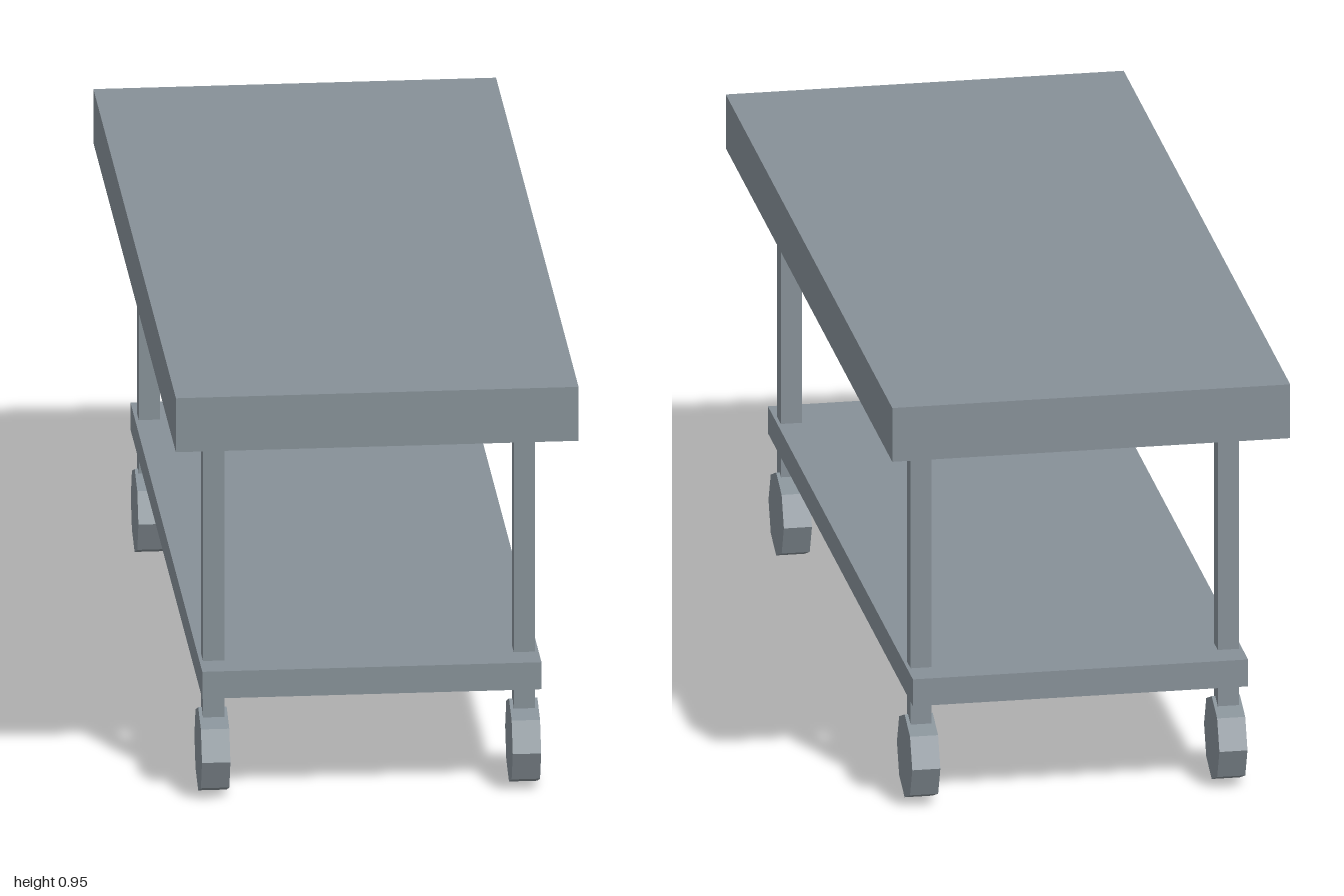
import * as THREE from 'three';

export function createModel() {
  const group = new THREE.Group();
  const steel = new THREE.MeshStandardMaterial({ color: 0x869097 });
  steel.name = 'steelGrey';

  const add = (name, geometry, x, y, z) => {
    const mesh = new THREE.Mesh(geometry, steel);
    mesh.name = name;
    mesh.position.set(x, y, z);
    group.add(mesh);
  };

  // Thick table top and thin lower shelf
  add('tableTop', new THREE.BoxGeometry(0.85, 0.12, 2), 0, 0.893, 0);
  add('lowerShelf', new THREE.BoxGeometry(0.716, 0.06, 1.742), 0, 0.268, 0);

  // Square leg running from the top down into the wheel
  const legGeometry = new THREE.BoxGeometry(0.045, 0.661, 0.045);

  // Eight-sided wheel with flat faces, axle along x, one corner down
  const wheelGeometry = new THREE.CylinderGeometry(0.0925, 0.0925, 0.06, 8)
    .rotateZ(Math.PI / 2)
    .toNonIndexed();
  wheelGeometry.computeVertexNormals();

  for (const [end, sz] of [['front', 1], ['back', -1]]) {
    for (const [side, sx] of [['Left', 1], ['Right', -1]]) {
      add(`${end}${side}Leg`, legGeometry, sx * 0.328, 0.5025, sz * 0.779);
      add(`${end}${side}Wheel`, wheelGeometry, sx * 0.328, 0.0925, sz * 0.771);
    }
  }
  return group;
}
